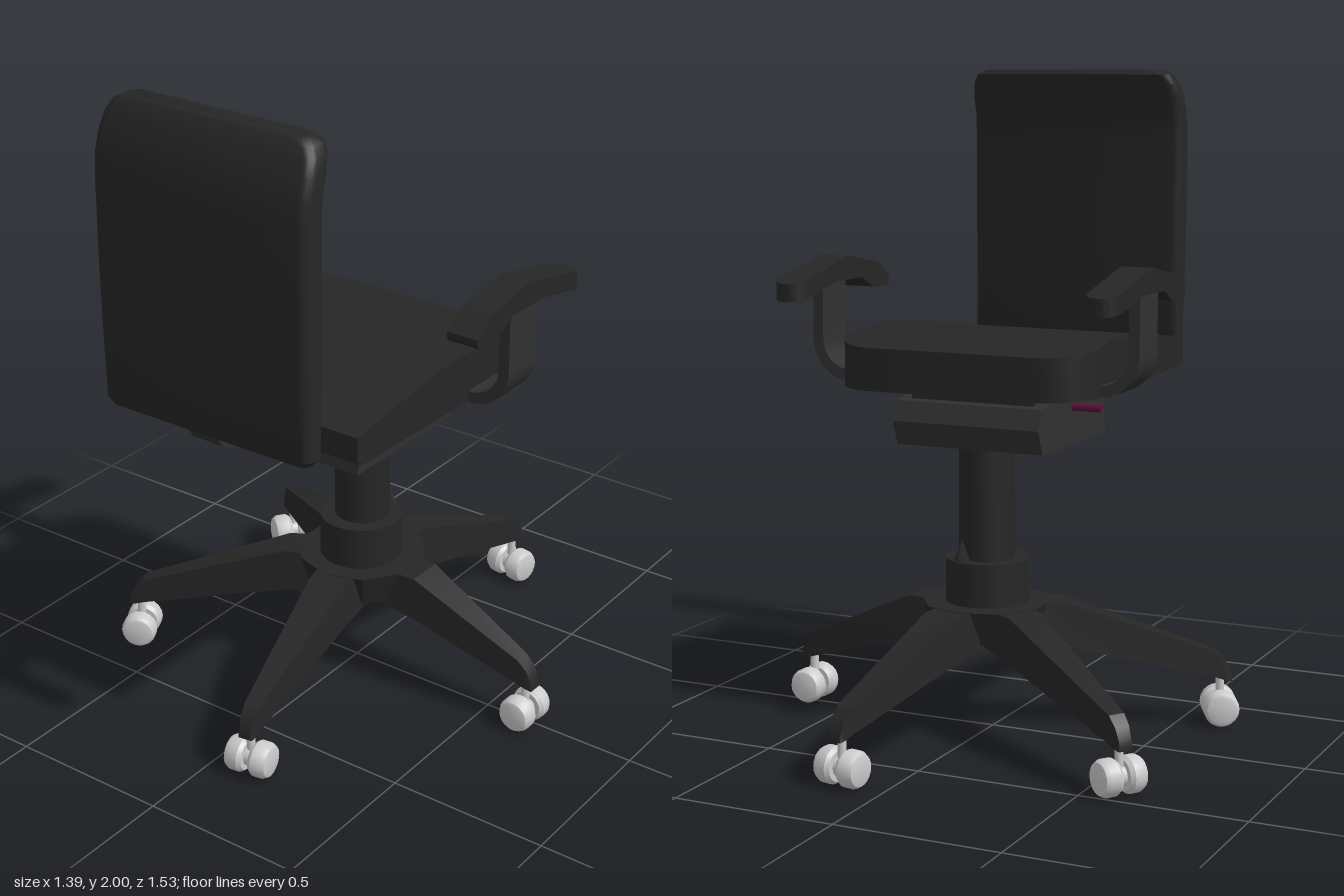
import * as THREE from 'three';
import { toCreasedNormals } from 'three/addons/utils/BufferGeometryUtils.js';

const material = (color) => new THREE.MeshStandardMaterial({ color });
const dark = material(0x262626);
const darkGrey = material(0x303030);
const red = material(0x5a1236);
const grey = material(0xcccccc);

// Skin over a list of rings (counter-clockwise seen from the last ring), capped at both ends
function loft(rings, crease = 0.6) {
  const n = rings[0].length;
  const pos = rings.flat(2);
  const index = [];
  for (let i = 0; i < rings.length - 1; i++) {
    for (let j = 0; j < n; j++) {
      const k = (j + 1) % n;
      const a = i * n + j, b = i * n + k, c = (i + 1) * n + k, d = (i + 1) * n + j;
      index.push(a, b, c, a, c, d);
    }
  }
  const last = (rings.length - 1) * n;
  for (let j = 1; j < n - 1; j++) {
    index.push(0, j + 1, j, last, last + j, last + j + 1);
  }
  const g = new THREE.BufferGeometry();
  g.setAttribute('position', new THREE.Float32BufferAttribute(pos, 3));
  g.setIndex(index);
  return toCreasedNormals(g, crease);
}

// Rectangular sections running from +z to -z; rows are [z, halfWidth, bottom, top]
const loftZ = (rows) => loft(rows.map(([z, w, b, t]) => [[w, b, z], [-w, b, z], [-w, t, z], [w, t, z]]));

// Rows that round off the -z end in plan, with bottom and top blended linearly
function roundedEnd(zStart, zEnd, width, radius, from, to) {
  const rows = [];
  for (let i = 0; i <= 8; i++) {
    const a = (i / 8) * Math.PI / 2;
    const f = Math.sin(a);
    rows.push([
      zStart + (zEnd - zStart) * f, width - radius * (1 - Math.cos(a)),
      from[0] + (to[0] - from[0]) * f, from[1] + (to[1] - from[1]) * f,
    ]);
  }
  return rows;
}

// Flat bent bar: runs out along x, then turns upwards; centred on z
function bentBar(inner, outer, bottom, top, radius, thick, width) {
  const s = new THREE.Shape();
  const cx = outer - radius, cy = bottom + radius;
  s.moveTo(inner, bottom);
  s.absarc(cx, cy, radius, -Math.PI / 2, 0, false);
  s.lineTo(outer, top);
  s.lineTo(outer - thick, top);
  s.absarc(cx, cy, radius - thick, 0, -Math.PI / 2, true);
  s.lineTo(inner, bottom + thick);
  const g = new THREE.ExtrudeGeometry(s, { depth: width, bevelEnabled: false, curveSegments: 10 });
  return toCreasedNormals(g.translate(0, 0, -width / 2), 0.5);
}

function add(parent, name, geometry, mat, x = 0, y = 0, z = 0) {
  const mesh = new THREE.Mesh(geometry, mat);
  mesh.name = name;
  mesh.position.set(x, y, z);
  parent.add(mesh);
  return mesh;
}

// Backrest ring: rounded rectangle in plan at one height
function backRing([y, cx, w, z0, z1]) {
  const r = Math.min(0.03, (z1 - z0) * 0.45);
  const ring = [];
  const corners = [[1, z0], [-1, z0], [-1, z1], [1, z1]];
  corners.forEach(([sx, z], q) => {
    for (let i = 0; i <= 4; i++) {
      const a = (q + i / 4) * Math.PI / 2;
      const zc = z === z0 ? z0 + r : z1 - r;
      ring.push([cx + sx * (w - r) + r * Math.cos(a), y, zc - r * Math.sin(a)]);
    }
  });
  return ring;
}

// Twin-wheel caster, axle along z
function caster() {
  const g = new THREE.Group();
  g.name = 'caster';
  const profile = [[0, 0], [0.046, 0], [0.055, 0.012], [0.055, 0.042], [0.047, 0.056], [0.036, 0.06], [0, 0.06]]
    .map(([x, y]) => new THREE.Vector2(x, y));
  const wheel = toCreasedNormals(new THREE.LatheGeometry(profile, 20), 0.6);
  for (const s of [1, -1]) {
    add(g, 'casterWheel', wheel, grey, 0, 0.055, s * 0.011).rotation.x = s * Math.PI / 2;
  }
  add(g, 'casterAxle', new THREE.CylinderGeometry(0.03, 0.03, 0.03, 16).rotateX(Math.PI / 2), grey, 0, 0.055, 0);
  add(g, 'casterStem', new THREE.CylinderGeometry(0.013, 0.013, 0.11, 12), grey, 0, 0.115, 0);
  return g;
}

export function createModel() {
  const chair = new THREE.Group();
  chair.name = 'officeChair';
  const cx = 0.02, seatX = 0.033;

  // Five legs, each aimed at its caster
  for (const [x, z] of [[0.64, 0.015], [0.135, -0.705], [0.125, 0.7], [-0.6, -0.445], [-0.62, 0.33]]) {
    const leg = new THREE.Group();
    leg.name = 'leg';
    leg.position.x = cx;
    leg.rotation.y = Math.atan2(-z, x - cx);
    const reach = Math.hypot(x - cx, z), tip = reach + 0.035;
    const rows = [
      [0.08, 0.295, 0.395, 0.085], [0.24, 0.262, 0.395, 0.068], [tip - 0.05, 0.15, 0.228, 0.03],
      [tip - 0.02, 0.14, 0.2, 0.027], [tip - 0.004, 0.136, 0.165, 0.024], [tip, 0.135, 0.145, 0.022],
    ];
    add(leg, 'legArm', loft(rows.map(([r, b, t, w]) => [[r, t, w * 0.85], [r, b, w], [r, b, -w], [r, t, -w * 0.85]]), 0.4), dark);
    const wheels = caster();
    wheels.position.x = reach;
    leg.add(wheels);
    chair.add(leg);
  }

  // Hub and gas column
  add(chair, 'baseHub', toCreasedNormals(new THREE.CylinderGeometry(0.2, 0.17, 0.105, 10), 0.3), dark, cx, 0.344, 0);
  add(chair, 'hubCollar', new THREE.CylinderGeometry(0.128, 0.128, 0.14, 32), dark, cx, 0.46, 0.005);
  add(chair, 'column', new THREE.CylinderGeometry(0.085, 0.085, 0.46, 32), dark, cx, 0.7, 0);
  add(chair, 'collarFin', new THREE.ConeGeometry(0.03, 0.07, 4), dark, 0.06, 0.56, -0.09);

  // Tilt mechanism under the seat
  const side = new THREE.Shape([
    [0.355, 0.88], [-0.125, 0.88], [-0.155, 0.955], [-0.13, 1.015], [-0.02, 1.035], [0.15, 1.07], [0.355, 1.07], [0.345, 0.97],
  ].map(([z, y]) => new THREE.Vector2(z, y)));
  const box = new THREE.ExtrudeGeometry(side, { depth: 0.48, bevelEnabled: false }).rotateY(-Math.PI / 2);
  add(chair, 'tiltMechanism', box, darkGrey, 0.26, 0, 0);
  add(chair, 'mechanismTop', new THREE.BoxGeometry(0.4, 0.06, 0.25), dark, cx, 1.04, 0.02);
  add(chair, 'heightLever', new THREE.CylinderGeometry(0.013, 0.013, 0.13, 12).rotateZ(Math.PI / 2), red, -0.25, 0.995, 0.1);

  // Seat cushion
  add(chair, 'seat', loftZ([
    [0.61, 0.412, 1.085, 1.16], [0.59, 0.412, 1.07, 1.164], [0.2, 0.412, 1.06, 1.213], [0, 0.412, 1.056, 1.213],
    ...roundedEnd(-0.08, -0.218, 0.412, 0.14, [1.054, 1.2], [1.05, 1.18]),
  ]), dark, seatX);

  // Armrests and their bent supports
  const padGeometry = loftZ([
    [0.248, 0.05, 1.333, 1.352], [0.235, 0.05, 1.32, 1.36], [0.18, 0.05, 1.322, 1.4], [0.14, 0.05, 1.325, 1.407],
    [0.075, 0.05, 1.36, 1.418], [-0.02, 0.05, 1.36, 1.435], [-0.09, 0.05, 1.36, 1.418],
    ...roundedEnd(-0.262, -0.312, 0.05, 0.046, [1.325, 1.381], [1.315, 1.37]),
  ]);
  const armGeometry = bentBar(0.2, 0.54, 1.055, 1.38, 0.125, 0.034, 0.142);
  for (const s of [1, -1]) {
    add(chair, 'armPad', padGeometry, dark, seatX + s * 0.5025, 0, 0);
    add(chair, 'armSupport', armGeometry, darkGrey, 0.038, 0, -0.002).rotation.y = s > 0 ? 0 : Math.PI;
    add(chair, 'armBolt', new THREE.CylinderGeometry(0.018, 0.018, 0.025, 12), grey, 0.025 + s * 0.305, 1.048, 0);
  }

  // Backrest with its bent carrier bar
  add(chair, 'backrest', loft([
    [1.105, 0.032, 0.345, 0.695, 0.752], [1.125, 0.032, 0.362, 0.686, 0.76], [1.3, 0.028, 0.363, 0.678, 0.76],
    [1.55, 0.023, 0.364, 0.668, 0.756], [1.78, 0.02, 0.364, 0.66, 0.75], [1.85, 0.02, 0.363, 0.656, 0.745],
    [1.91, 0.02, 0.36, 0.635, 0.728], [1.955, 0.02, 0.352, 0.618, 0.711], [1.985, 0.02, 0.335, 0.607, 0.698],
    [2.0, 0.02, 0.305, 0.615, 0.685],
  ].map(backRing)), dark);
  add(chair, 'backCarrier', bentBar(0.2, 0.752, 1.05, 1.14, 0.085, 0.032, 0.105), darkGrey, cx, 0, 0).rotation.y = -Math.PI / 2;
  add(chair, 'carrierBolt', new THREE.CylinderGeometry(0.018, 0.018, 0.025, 12), grey, cx, 1.045, 0.58);

  return chair;
}
